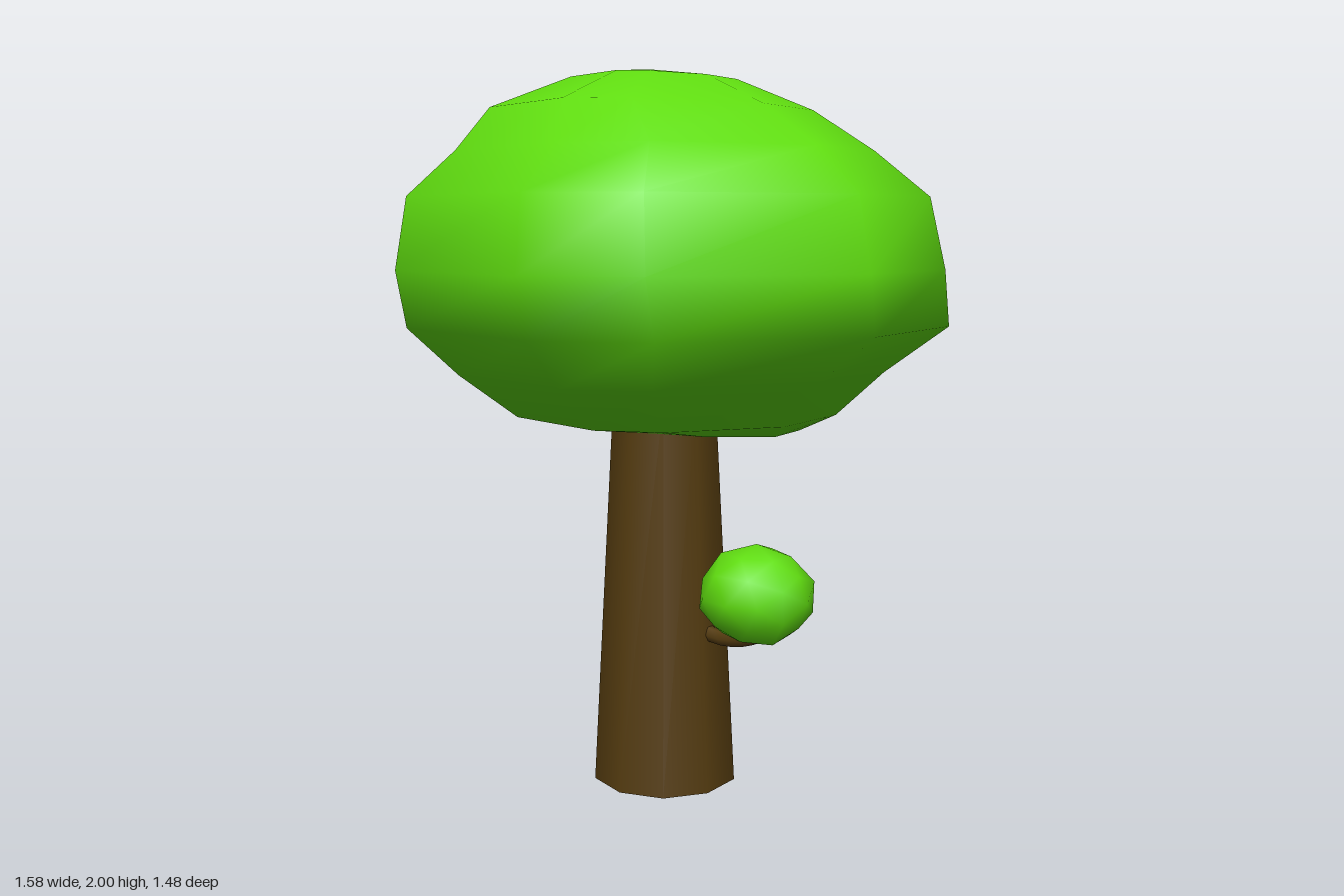
import * as THREE from 'three';
import { mergeVertices } from 'three/addons/utils/BufferGeometryUtils.js';

const leafGreen = new THREE.MeshStandardMaterial({ color: 0x60dd10 });
leafGreen.name = 'leafGreen';
const barkBrown = new THREE.MeshStandardMaterial({ color: 0x553c10 });
barkBrown.name = 'barkBrown';

function addPart(group, name, geometry, material) {
  const mesh = new THREE.Mesh(geometry, material);
  mesh.name = name;
  group.add(mesh);
  return mesh;
}

// Plan outline of the crown at its widest, as [x, z]
const outline = [
  [0.79, -0.08], [0.57, 0.32], [0.28, 0.71], [-0.18, 0.74], [-0.66, 0.43], [-0.79, 0.15],
  [-0.66, -0.4], [-0.28, -0.74], [0.15, -0.71], [0.28, -0.68], [0.62, -0.5],
];

// Crown levels: [y, left reach, right reach, back reach, front reach]
const levels = [
  [1.02, 0.18, 0.3, 0.2, 0.37],
  [1.06, 0.45, 0.53, 0.45, 0.44],
  [1.18, 0.61, 0.69, 0.61, 0.56],
  [1.31, 0.76, 0.79, 0.72, 0.74],
  [1.46, 0.79, 0.76, 0.74, 0.73],
  [1.65, 0.76, 0.7, 0.7, 0.69],
  [1.77, 0.61, 0.53, 0.6, 0.55],
  [1.88, 0.54, 0.4, 0.47, 0.38],
  [1.97, 0.28, 0.25, 0.3, 0.16],
];

// Loft the outline through the levels and close both ends with a point
function crownGeometry() {
  const n = outline.length;
  const positions = [];
  const index = [];
  for (const [y, left, right, back, front] of levels) {
    for (const [x, z] of outline) {
      positions.push(x * (x < 0 ? left : right) / 0.79, y, z * (z < 0 ? back : front) / 0.74);
    }
  }
  const bottom = positions.length / 3;
  positions.push(0.02, 1.02, 0.04, -0.02, 2.0, -0.06);
  const top = bottom + 1;
  const lastRing = (levels.length - 1) * n;
  for (let i = 0; i < n; i++) {
    const j = (i + 1) % n;
    for (let r = 0; r < lastRing; r += n) {
      index.push(r + i, r + n + i, r + j, r + j, r + n + i, r + n + j);
    }
    index.push(bottom, i, j, top, lastRing + j, lastRing + i);
  }
  const geometry = new THREE.BufferGeometry();
  geometry.setAttribute('position', new THREE.Float32BufferAttribute(positions, 3));
  geometry.setIndex(index);
  geometry.computeVertexNormals();
  return geometry;
}

// Slightly uneven low-poly ball with smooth normals
function tuftGeometry() {
  const ball = new THREE.IcosahedronGeometry(1, 1);
  ball.deleteAttribute('uv');
  ball.deleteAttribute('normal');
  const geometry = mergeVertices(ball, 1e-3);
  const p = geometry.attributes.position;
  for (let i = 0; i < p.count; i++) {
    const s = 1 + 0.03 * Math.sin(i * 2.3);
    p.setXYZ(i, p.getX(i) * s * 0.146, p.getY(i) * s * 0.136, p.getZ(i) * s * 0.162);
  }
  geometry.computeVertexNormals();
  return geometry;
}

export function createModel() {
  const tree = new THREE.Group();
  tree.name = 'tree';

  // Tapered trunk, reaching a little into the crown
  const trunk = addPart(tree, 'trunk',
    new THREE.CylinderGeometry(0.15, 0.21, 1.1, 10, 1, false, Math.PI / 2), barkBrown);
  trunk.position.set(-0.022, 0.55, -0.01);

  addPart(tree, 'crown', crownGeometry(), leafGreen);

  // Side branch with a small tuft of leaves
  const path = new THREE.CatmullRomCurve3([
    new THREE.Vector3(-0.04, 0.46, 0.1),
    new THREE.Vector3(-0.05, 0.445, 0.22),
    new THREE.Vector3(-0.07, 0.48, 0.34),
    new THREE.Vector3(-0.08, 0.53, 0.36),
  ]);
  addPart(tree, 'branch', new THREE.TubeGeometry(path, 8, 0.022, 6), barkBrown);
  addPart(tree, 'branchTuft', tuftGeometry(), leafGreen).position.set(-0.083, 0.595, 0.345);

  return tree;
}
